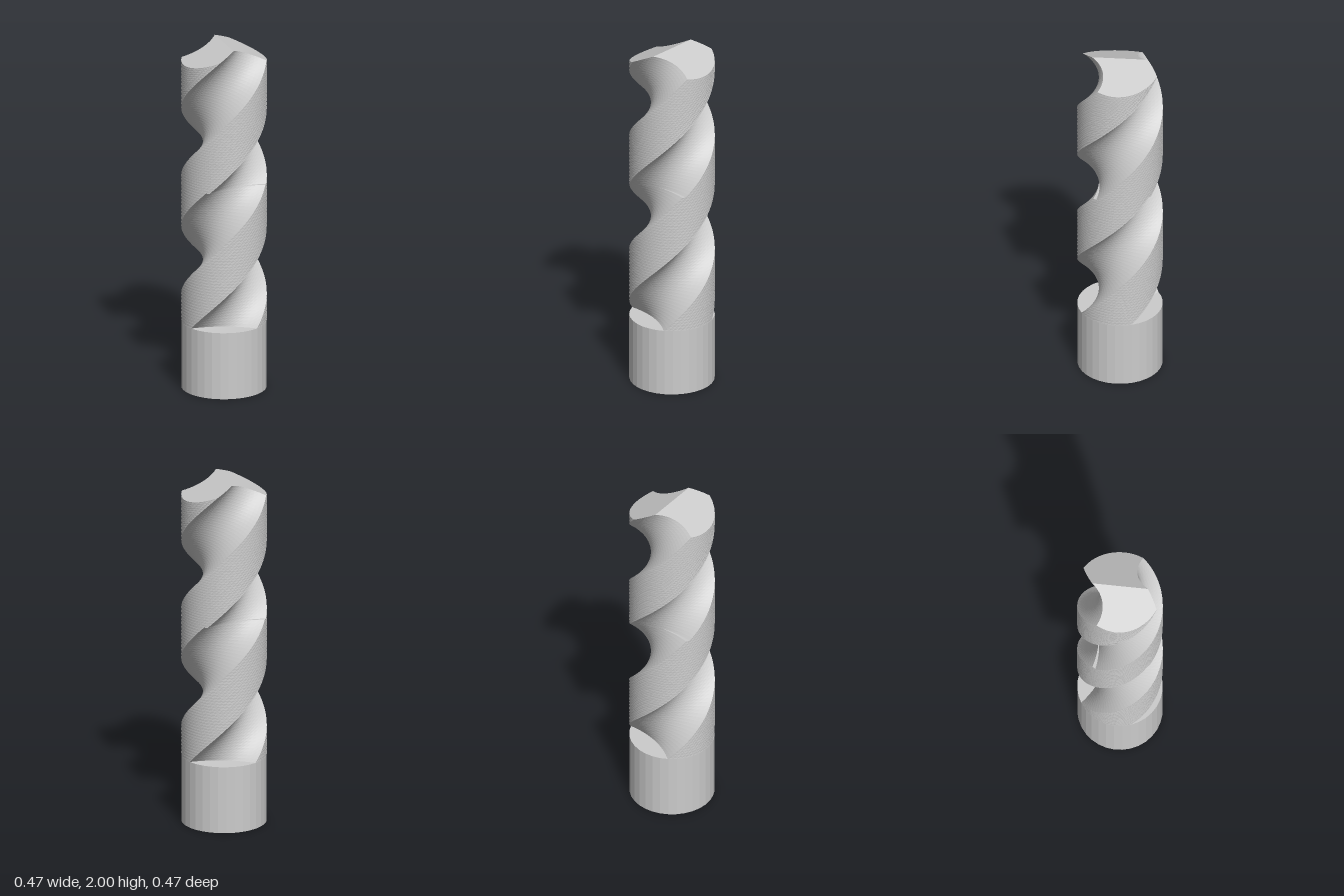
import * as THREE from 'three';

const RADIUS = 0.237, SHANK_TOP = 0.385, SEAM = 1.1925, TIP = 2;
const RAD = Math.PI / 180;
const RATE = 254 * RAD;          // helix twist per unit of height
const TOP_PHASE = 116.5 * RAD;   // direction of the flute centre at the tip
const SEAM_STEP = 5 * RAD;       // small rotation between the two fluted lengths
const ROOF_SLOPE = 0.43;
const FLUTE_HALF = 0.182, FLUTE_STEPS = 16, LAND_STEPS = 14;

// Two-flute cross-section as polar points, counter-clockwise
function fluteSection() {
  const points = [];
  const core = t => 0.117 + 1.05 * t * t;
  const edge = Math.atan2(FLUTE_HALF, core(FLUTE_HALF));
  for (let k = 0; k < 2; k++) {
    for (let i = 0; i < FLUTE_STEPS; i++) {
      const t = FLUTE_HALF * (2 * i / FLUTE_STEPS - 1);
      points.push({ r: Math.min(RADIUS, Math.hypot(core(t), t)), a: k * Math.PI + Math.atan2(t, core(t)) });
    }
    for (let i = 0; i < LAND_STEPS; i++) {
      points.push({ r: RADIUS, a: k * Math.PI + edge + (Math.PI - 2 * edge) * i / LAND_STEPS });
    }
  }
  return points;
}

// Twisted length from y0 up to topOf(point), closed at both ends
function twistedBody(y0, phaseAt, topOf, centreTop, rows) {
  const section = fluteSection(), n = section.length;
  const pos = [], index = [];
  const tops = section.map(topOf);
  for (let j = 0; j <= rows; j++) {
    section.forEach((p, i) => {
      const y = y0 + (tops[i] - y0) * j / rows;
      const a = p.a + phaseAt(y);
      pos.push(p.r * Math.cos(a), y, -p.r * Math.sin(a));
    });
  }
  const bottom = pos.length / 3, top = bottom + 1;
  pos.push(0, y0, 0, 0, centreTop, 0);
  for (let i = 0; i < n; i++) {
    const k = (i + 1) % n;
    for (let j = 0; j < rows; j++) {
      const a = j * n + i, b = j * n + k;
      index.push(a, b, b + n, a, b + n, a + n);
    }
    index.push(bottom, k, i, top, rows * n + i, rows * n + k);
  }
  const geometry = new THREE.BufferGeometry();
  geometry.setAttribute('position', new THREE.Float32BufferAttribute(pos, 3));
  geometry.setIndex(index);
  const flat = geometry.toNonIndexed();
  flat.computeVertexNormals();
  return flat;
}

export function createModel() {
  const group = new THREE.Group();
  const material = new THREE.MeshStandardMaterial({ color: 0xcccccc, flatShading: true });
  const add = (name, geometry) => {
    const mesh = new THREE.Mesh(geometry, material);
    mesh.name = name;
    group.add(mesh);
    return mesh;
  };

  // Plain round shank
  add('shank', new THREE.CylinderGeometry(RADIUS, RADIUS, SHANK_TOP, 32)).position.y = SHANK_TOP / 2;

  const upperPhase = y => TOP_PHASE + RATE * (y - TIP);
  const lowerPhase = y => upperPhase(y) - SEAM_STEP;

  // Lower fluted length, flat on top
  add('lowerFlutes', twistedBody(SHANK_TOP, lowerPhase, () => SEAM, SEAM, 48));

  // Upper fluted length, cut to a shallow ridge at the tip
  const ridge = TOP_PHASE + fluteSection()[FLUTE_STEPS / 4].a;
  const roofTop = p => {
    let y = TIP;
    for (let i = 0; i < 40; i++) {
      y = TIP - ROOF_SLOPE * p.r * Math.abs(Math.sin(p.a + upperPhase(y) - ridge));
    }
    return y;
  };
  add('upperFlutes', twistedBody(SEAM, upperPhase, roofTop, TIP, 48));

  return group;
}
